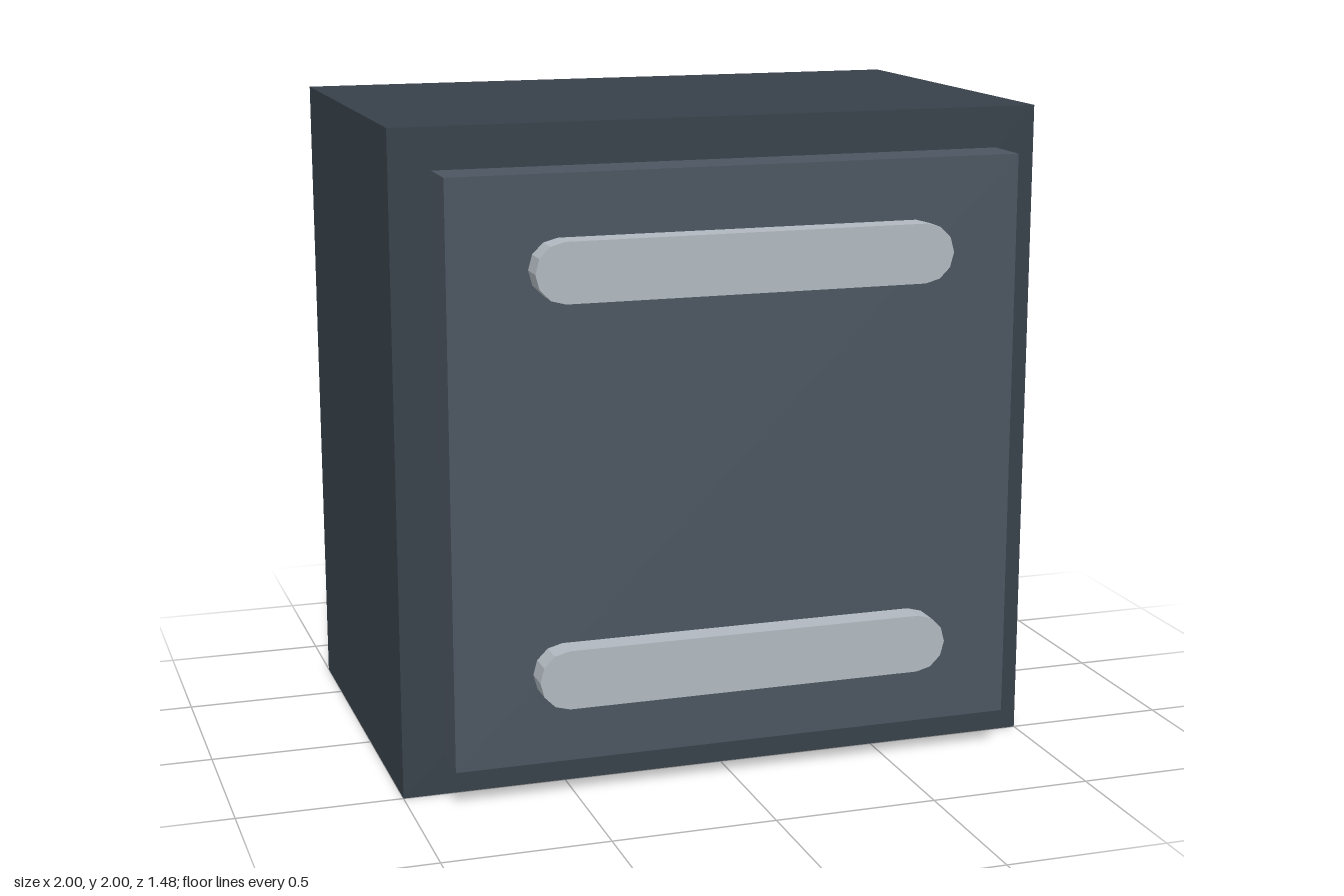
import * as THREE from 'three';

const bodyMaterial = new THREE.MeshStandardMaterial({ color: 0x37414a });
const panelMaterial = new THREE.MeshStandardMaterial({ color: 0x4b5560 });
const handleMaterial = new THREE.MeshStandardMaterial({ color: 0xb0b8bf });

// Box whose back face sits at z = back
function box(name, width, height, depth, back, material) {
  const mesh = new THREE.Mesh(new THREE.BoxGeometry(width, height, depth), material);
  mesh.name = name;
  mesh.position.set(0, 1, back + depth / 2);
  return mesh;
}

// Flat bar with faceted half-round ends
function handleGeometry(halfLength, radius, depth) {
  const c = halfLength - radius;
  const shape = new THREE.Shape();
  shape.absarc(c, 0, radius, -Math.PI / 2, Math.PI / 2, false);
  shape.absarc(-c, 0, radius, Math.PI / 2, Math.PI * 1.5, false);
  return new THREE.ExtrudeGeometry(shape, { depth, bevelEnabled: false, curveSegments: 3 });
}

export function createModel() {
  const group = new THREE.Group();
  group.name = 'cabinet';

  // Cabinet body and raised front panel
  group.add(box('body', 2, 2, 1.24, -0.74, bodyMaterial));
  group.add(box('frontPanel', 1.75, 1.75, 0.16, 0.5, panelMaterial));

  // Upper and lower bar handles
  const geometry = handleGeometry(0.637, 0.089, 0.08);
  for (const [name, y] of [['upperHandle', 1.603], ['lowerHandle', 0.402]]) {
    const handle = new THREE.Mesh(geometry, handleMaterial);
    handle.name = name;
    handle.position.set(0, y, 0.66);
    group.add(handle);
  }
  return group;
}
